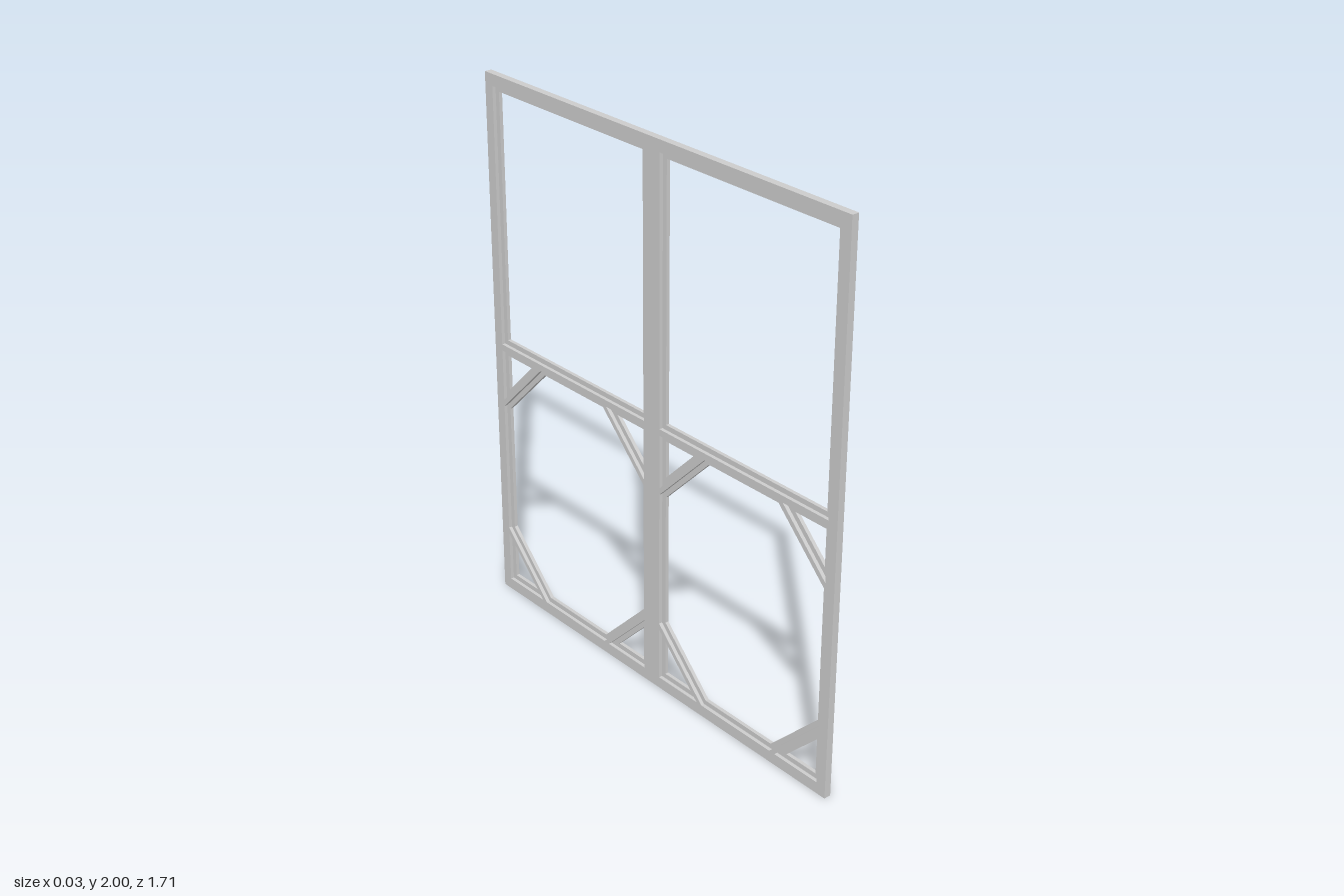
import * as THREE from 'three';

const W = 0.855, H = 2, T = 0.013;      // leaf width, height, half thickness
const BAR = 0.057, RABBET = 0.018;      // bar width, step on the rear of each bar
const CUT = 0.21, TRI = 0.135;          // corner cut of the lower opening, triangle leg

// Grow a convex counter-clockwise polygon outward by d
function grow(points, d) {
  const n = points.length;
  const normal = (a, b) => new THREE.Vector2(b.y - a.y, a.x - b.x).normalize();
  return points.map((p, i) => {
    const n1 = normal(points[(i + n - 1) % n], p);
    const n2 = normal(p, points[(i + 1) % n]);
    return n1.clone().add(n2).multiplyScalar(d / (1 + n1.dot(n2))).add(p);
  });
}

const polygon = (...pairs) => pairs.map(([x, y]) => new THREE.Vector2(x, y));

// Openings of one leaf: upper pane, lower octagon, four corner triangles
function openings() {
  const l = BAR, r = W - BAR, b = 0.06, t = 0.97;
  const list = [
    polygon([l, 1.03], [r, 1.03], [r, 1.94], [l, 1.94]),
    polygon([l + CUT, b], [r - CUT, b], [r, b + CUT], [r, t - CUT],
      [r - CUT, t], [l + CUT, t], [l, t - CUT], [l, b + CUT]),
  ];
  for (const [x, sx] of [[l, 1], [r, -1]]) {
    for (const [y, sy] of [[b, 1], [t, -1]]) {
      const tri = polygon([x, y], [x + sx * TRI, y], [x, y + sy * TRI]);
      list.push(sx * sy > 0 ? tri : tri.reverse());
    }
  }
  return list;
}

// One flat layer of the frame, widened openings make the stepped rear
function layer(name, widen, x, material) {
  const shape = new THREE.Shape(polygon([0, 0], [W, 0], [W, H], [0, H]));
  shape.holes = openings().map(o => new THREE.Path(grow(o, widen).reverse()));
  const geometry = new THREE.ExtrudeGeometry(shape, { depth: T, bevelEnabled: false });
  geometry.rotateY(-Math.PI / 2);       // shape lies in the zy plane, depth runs to -x
  const mesh = new THREE.Mesh(geometry, material);
  mesh.name = name;
  mesh.position.x = x;
  return mesh;
}

export function createModel() {
  const model = new THREE.Group();
  model.name = 'doubleGate';
  const material = new THREE.MeshStandardMaterial({ color: 0xcccccc, flatShading: true });
  // Two equal leaves meeting at z = 0
  for (const [name, z] of [['frontLeaf', 0], ['rearLeaf', -W]]) {
    const leaf = new THREE.Group();
    leaf.name = name;
    leaf.position.z = z;
    leaf.add(layer('facePlate', 0, T, material), layer('steppedBacking', RABBET, 0, material));
    model.add(leaf);
  }
  return model;
}
